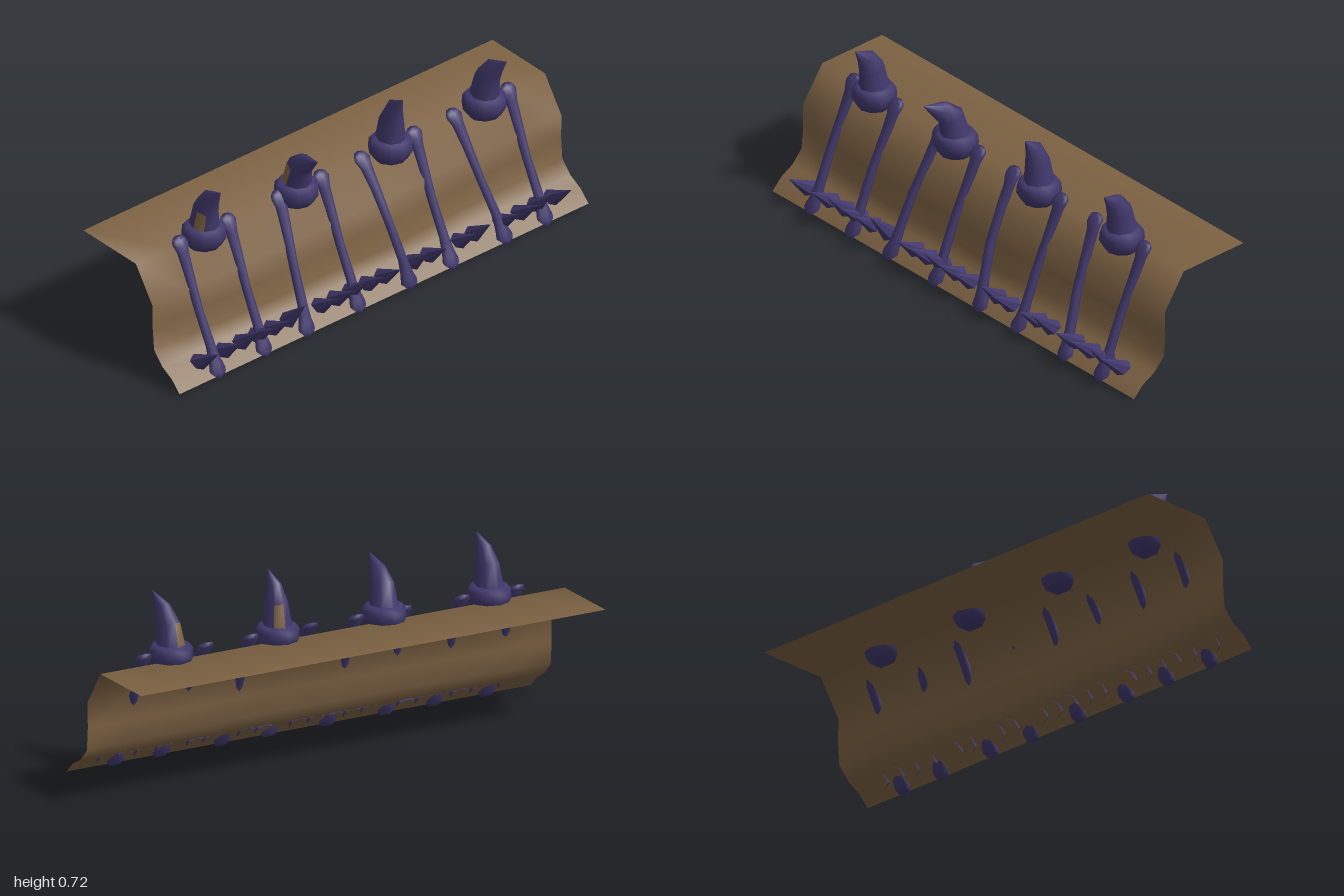
import * as THREE from 'three';

const purple = new THREE.MeshStandardMaterial({ color: 0x40376b });
purple.name = 'darkPurple';
const brown = new THREE.MeshStandardMaterial({ color: 0x7d6243 });
brown.name = 'brown';
const brownSheet = new THREE.MeshStandardMaterial({ color: 0x7d6243, side: THREE.DoubleSide });
brownSheet.name = 'brownHide';

// Skin rings { x, y, z, rx, rz, tilt } from bottom to top; one quad may be painted
function loft(rings, sides, painted = -1) {
  const pos = [], index = [], accent = [];
  for (const { x, y, z, rx, rz, tilt = 0 } of rings) {
    for (let s = 0; s < sides; s++) {
      const a = (s / sides) * Math.PI * 2;
      const d = -Math.sin(a) * rz;
      pos.push(x + Math.cos(a) * rx, y - d * Math.sin(tilt), z + d * Math.cos(tilt));
    }
  }
  for (let r = 0; r < rings.length - 1; r++) {
    for (let s = 0; s < sides; s++) {
      const n = (s + 1) % sides, a = r * sides + s, b = r * sides + n;
      const target = r === 0 && s === painted ? accent : index;
      target.push(a, b, b + sides, a, b + sides, a + sides);
    }
  }
  const g = new THREE.BufferGeometry();
  g.setAttribute('position', new THREE.Float32BufferAttribute(pos, 3));
  g.setIndex([...index, ...accent]);
  g.addGroup(0, index.length, 0);
  g.addGroup(index.length, accent.length, 1);
  g.computeVertexNormals();
  return g;
}

// Folded hide, with a belly that swells towards the middle
function hideGeometry() {
  // [z, y, swell]
  const profile = [[-0.31, 0.47, 0], [-0.01, 0.47, 0], [0.085, 0.33, 0.012],
    [0.083, 0.23, 0.03], [0.09, 0.14, 0.04], [0.138, 0.09, 0.012], [0.195, 0.06, 0], [0.24, 0.015, 0]];
  const cols = 12, rows = profile.length, pos = [], index = [];
  for (let c = 0; c <= cols; c++) {
    const x = -1 + (2 * c) / cols;
    const swell = Math.max(0, Math.cos((x + 0.05) * 1.5)) * (0.85 + 0.15 * Math.sin(x * 9));
    for (const [z, y, k] of profile) pos.push(x, y, z + k * swell);
  }
  for (let c = 0; c < cols; c++) {
    for (let r = 0; r < rows - 1; r++) {
      const a = c * rows + r, b = a + rows;
      index.push(a, a + 1, b + 1, a, b + 1, b);
    }
  }
  const g = new THREE.BufferGeometry();
  g.setAttribute('position', new THREE.Float32BufferAttribute(pos, 3));
  g.setIndex(index);
  g.computeVertexNormals();
  return g;
}

// Leaning bone with flared, knobbed ends
function boneGeometry(topX, bottomX, bow) {
  // [fraction of height, half width, half depth]
  const shape = [[0, 0, 0], [0.005, 0.025, 0.016], [0.045, 0.038, 0.025], [0.1, 0.029, 0.023],
    [0.2, 0.021, 0.021], [0.5, 0.018, 0.02], [0.75, 0.022, 0.02], [0.9, 0.027, 0.02],
    [0.955, 0.036, 0.025], [0.99, 0.026, 0.016], [1, 0, 0]];
  return loft(shape.map(([t, rx, rz]) => ({
    x: bottomX + (topX - bottomX) * t + Math.sin(t * 9) * 0.003,
    y: 0.008 + 0.505 * t,
    z: 0.232 - 0.23 * t + bow * Math.sin(Math.PI * t),
    rx, rz, tilt: 0.25
  })), 8);
}

// Horn curling forward to its tip
function hornGeometry(baseX, tipX, tipY, tipZ, painted) {
  const lean = tipX - baseX, reach = tipZ - 0.085;
  return loft([
    { x: baseX, y: 0.51, z: 0.012, rx: 0.057, rz: 0.062 },
    { x: baseX + lean * 0.2, y: 0.605, z: 0.02 + reach * 0.2, rx: 0.043, rz: 0.054, tilt: 0.25 },
    { x: baseX + lean * 0.5, y: 0.605 + (tipY - 0.605) * 0.5, z: 0.04 + reach * 0.55, rx: 0.028, rz: 0.04, tilt: 0.6 },
    { x: tipX, y: tipY, z: tipZ, rx: 0, rz: 0 }
  ], 8, painted);
}

export function createModel() {
  const model = new THREE.Group();
  const add = (name, geometry, material, parent = model) => {
    const m = new THREE.Mesh(geometry, material);
    m.name = name;
    parent.add(m);
    return m;
  };

  add('hide', hideGeometry(), brownSheet);

  // Bones: [top x, bottom x, forward bow]
  const bones = new THREE.Group();
  bones.name = 'bones';
  model.add(bones);
  [[-0.805, -0.8, 0], [-0.57, -0.575, 0.005], [-0.32, -0.368, 0.01], [-0.115, -0.115, 0.005],
    [0.08, 0.135, 0.03], [0.34, 0.34, 0], [0.53, 0.605, 0.01], [0.8, 0.8, 0]]
    .forEach(([t, b, bow]) => add('bone', boneGeometry(t, b, bow), purple, bones));

  // Sockets and horns: [base x, tip x, tip y, tip z, painted face]
  const cup = [[0, 0.425], [0.035, 0.425], [0.066, 0.443], [0.086, 0.478], [0.083, 0.512],
    [0.07, 0.528], [0.04, 0.53], [0, 0.53]].map(p => new THREE.Vector2(...p));
  [[-0.687, -0.687, 0.712, 0.11, 4], [-0.235, -0.255, 0.69, 0.16, 3],
    [0.225, 0.225, 0.727, 0.085, 1], [0.683, 0.702, 0.713, 0.122, 2]]
    .forEach(([x, tx, ty, tz, face]) => {
      const unit = new THREE.Group();
      unit.name = 'hornUnit';
      model.add(unit);
      add('socket', new THREE.LatheGeometry(cup, 10), purple, unit).position.set(x, 0, 0.013);
      add('horn', hornGeometry(x, tx, ty, tz, face), [purple, brown], unit);
    });

  // Row of hollow six-sided teeth: [x, length]
  const teeth = new THREE.Group();
  teeth.name = 'teeth';
  model.add(teeth);
  [[-0.855, 0.155], [-0.735, 0.145], [-0.65, 0.15], [-0.575, 0.14], [-0.5, 0.14], [-0.42, 0.165],
    [-0.265, 0.14], [-0.19, 0.155], [-0.115, 0.145], [-0.035, 0.14], [0.042, 0.145], [0.19, 0.14],
    [0.265, 0.145], [0.415, 0.14], [0.485, 0.15], [0.62, 0.15], [0.71, 0.16], [0.79, 0.135], [0.87, 0.155]]
    .forEach(([x, length], i) => {
      const g = new THREE.ConeGeometry(0.036, length, 6, 1, true).toNonIndexed();
      g.computeVertexNormals();
      g.translate(0, length / 2, 0);
      const tooth = add('tooth', g, purple, teeth);
      tooth.position.set(x, 0.06, 0.173);
      tooth.rotation.x = 0.9 - 0.08 * (i % 3 === 2 ? 1 : 0) - (length > 0.16 ? 0.1 : 0);
    });

  return model;
}
